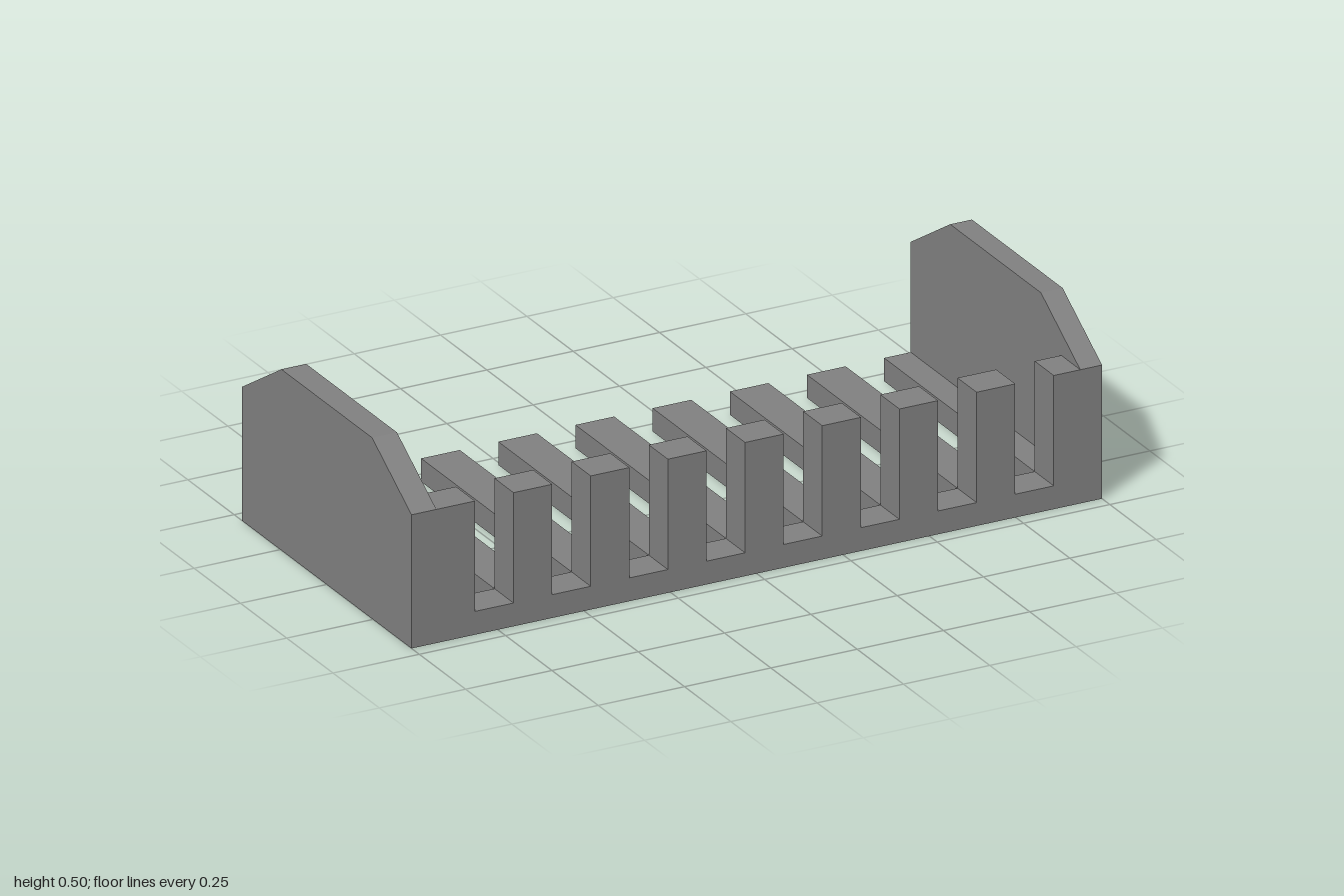
import * as THREE from 'three';

export function createModel() {
  const model = new THREE.Group();
  model.name = 'slattedRack';
  const grey = new THREE.MeshStandardMaterial({ color: 0x808080 });
  grey.name = 'grey';

  const depth = 0.458, barBack = 0.355, base = 0.065, postTop = 0.373;
  const leftInner = 0.937, rightInner = -0.928;

  // Box given by its minimum and maximum corners
  function box(name, x0, x1, y0, y1, z0, z1) {
    const mesh = new THREE.Mesh(new THREE.BoxGeometry(x1 - x0, y1 - y0, z1 - z0), grey);
    mesh.position.set((x0 + x1) / 2, (y0 + y1) / 2, (z0 + z1) / 2);
    mesh.name = name;
    model.add(mesh);
  }

  // End walls with sloped top corners, extruded along x
  const profile = new THREE.Shape([
    [-depth, 0], [depth, 0], [depth, postTop],
    [0.245, 0.505], [-0.245, 0.505], [-depth, postTop],
  ].map(([z, y]) => new THREE.Vector2(z, y)));
  function wall(name, x0, x1) {
    const geometry = new THREE.ExtrudeGeometry(profile, { depth: x1 - x0, bevelEnabled: false });
    geometry.rotateY(Math.PI / 2);
    const mesh = new THREE.Mesh(geometry, grey);
    mesh.position.x = x0;
    mesh.name = name;
    model.add(mesh);
  }
  wall('rightWall', -1, rightInner);
  wall('leftWall', leftInner, 1);

  // Front rail joining all slats
  box('frontRail', rightInner, leftInner, 0, base, barBack, depth);

  // Floor slats, each with an upright post at the front
  for (let i = 0; i < 9; i++) {
    const x0 = rightInner + i * 0.2235;
    const x1 = Math.min(x0 + 0.112, leftInner);
    box('slat' + (i + 1), x0, x1, 0, base, -depth, barBack);
    box('post' + (i + 1), x0, x1, base, postTop, barBack, depth);
  }
  return model;
}
